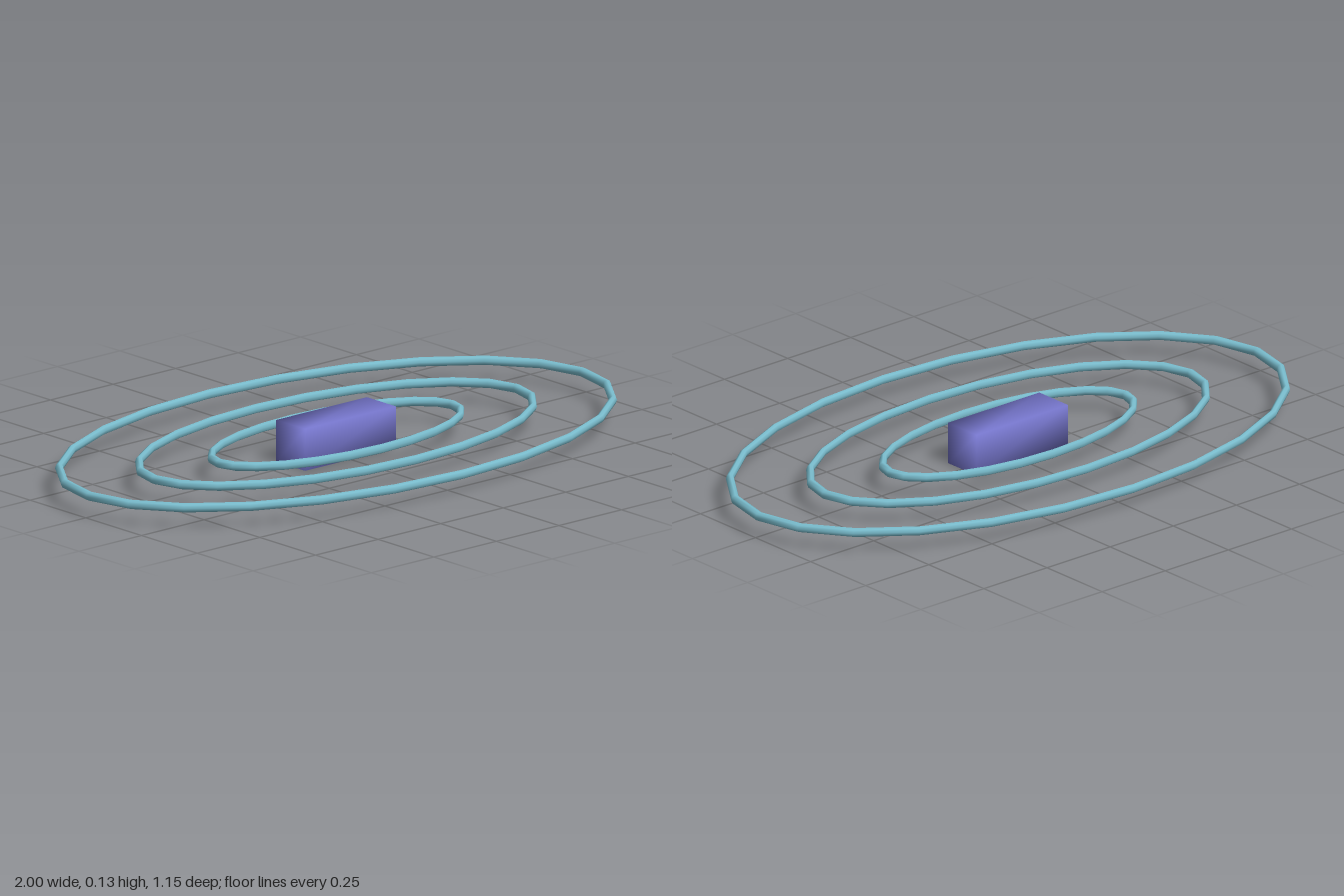
import * as THREE from 'three';
import { mergeVertices } from 'three/addons/utils/BufferGeometryUtils.js';

const MID_Y = 0.065;

export function createModel() {
  const model = new THREE.Group();
  const violet = new THREE.MeshStandardMaterial({ name: 'violet', color: 0x7676cc });
  const paleCyan = new THREE.MeshStandardMaterial({ name: 'paleCyan', color: 0x7bbfd0 });

  // Central block, its corners sharing normals for soft shading
  let block = new THREE.BoxGeometry(0.362, 0.13, 0.13);
  block.deleteAttribute('normal');
  block.deleteAttribute('uv');
  block = mergeVertices(block);
  block.computeVertexNormals();
  const core = new THREE.Mesh(block, violet);
  core.name = 'coreBlock';
  core.position.y = MID_Y;
  model.add(core);

  // Flat elliptical rings: circular tori squashed along z
  const tube = 0.0145;
  const rings = [
    ['innerRing', 0.466, 0.44],
    ['middleRing', 0.7235, 0.498],
    ['outerRing', 0.9855, 0.577],
  ];
  for (const [name, radius, squash] of rings) {
    const geometry = new THREE.TorusGeometry(radius, tube, 8, 24);
    geometry.rotateX(Math.PI / 2).scale(1, 1, squash);
    const ring = new THREE.Mesh(geometry, paleCyan);
    ring.name = name;
    ring.position.y = MID_Y;
    model.add(ring);
  }

  return model;
}
